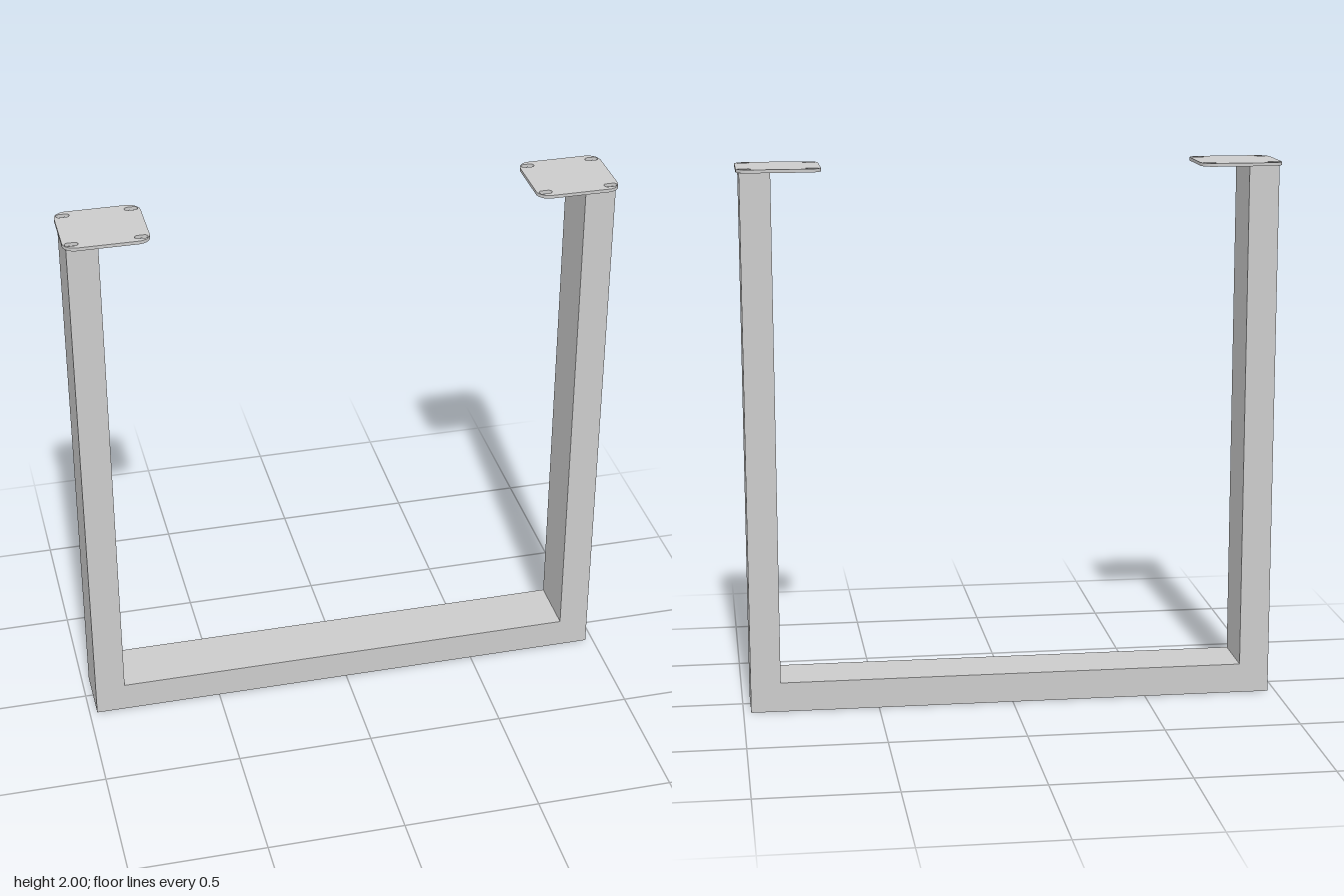
import * as THREE from 'three';

const material = new THREE.MeshStandardMaterial({ color: 0xcccccc, flatShading: true });

// U-shaped outline of the square-cornered frame
function frameGeometry() {
  const outer = 0.972, inner = 0.862, top = 1.988, bar = 0.11, depth = 0.218;
  const shape = new THREE.Shape([
    [-outer, 0], [outer, 0], [outer, top], [inner, top],
    [inner, bar], [-inner, bar], [-inner, top], [-outer, top],
  ].map(([x, y]) => new THREE.Vector2(x, y)));
  return new THREE.ExtrudeGeometry(shape, { depth, bevelEnabled: false })
    .translate(0, 0, -depth / 2);
}

// Rounded rectangle traced by four corner arcs
function roundedOutline(path, cx, cy, w, h, r) {
  const x = w / 2 - r, y = h / 2 - r;
  [[x, y], [-x, y], [-x, -y], [x, -y]].forEach(([px, py], i) => {
    path.absarc(cx + px, cy + py, r, i * Math.PI / 2, (i + 1) * Math.PI / 2, false);
  });
  path.closePath();
  return path;
}

// Thin mounting plate with a slot near each corner
function plateGeometry() {
  const thickness = 0.012;
  const shape = roundedOutline(new THREE.Shape(), 0, 0, 0.3, 0.274, 0.045);
  for (const sx of [-1, 1]) {
    for (const sz of [-1, 1]) {
      shape.holes.push(roundedOutline(new THREE.Path(), sx * 0.119, sz * 0.107, 0.047, 0.024, 0.0119));
    }
  }
  return new THREE.ExtrudeGeometry(shape, { depth: thickness, bevelEnabled: false, curveSegments: 8 })
    .rotateX(-Math.PI / 2);
}

export function createModel() {
  const model = new THREE.Group();
  model.name = 'tableLeg';

  const frame = new THREE.Mesh(frameGeometry(), material);
  frame.name = 'frame';
  model.add(frame);

  // Plates reach inward from the top of each upright
  const plate = plateGeometry();
  for (const side of [-1, 1]) {
    const mesh = new THREE.Mesh(plate, material);
    mesh.name = side > 0 ? 'leftMountingPlate' : 'rightMountingPlate';
    mesh.position.set(side * 0.833, 1.988, 0);
    model.add(mesh);
  }
  return model;
}
